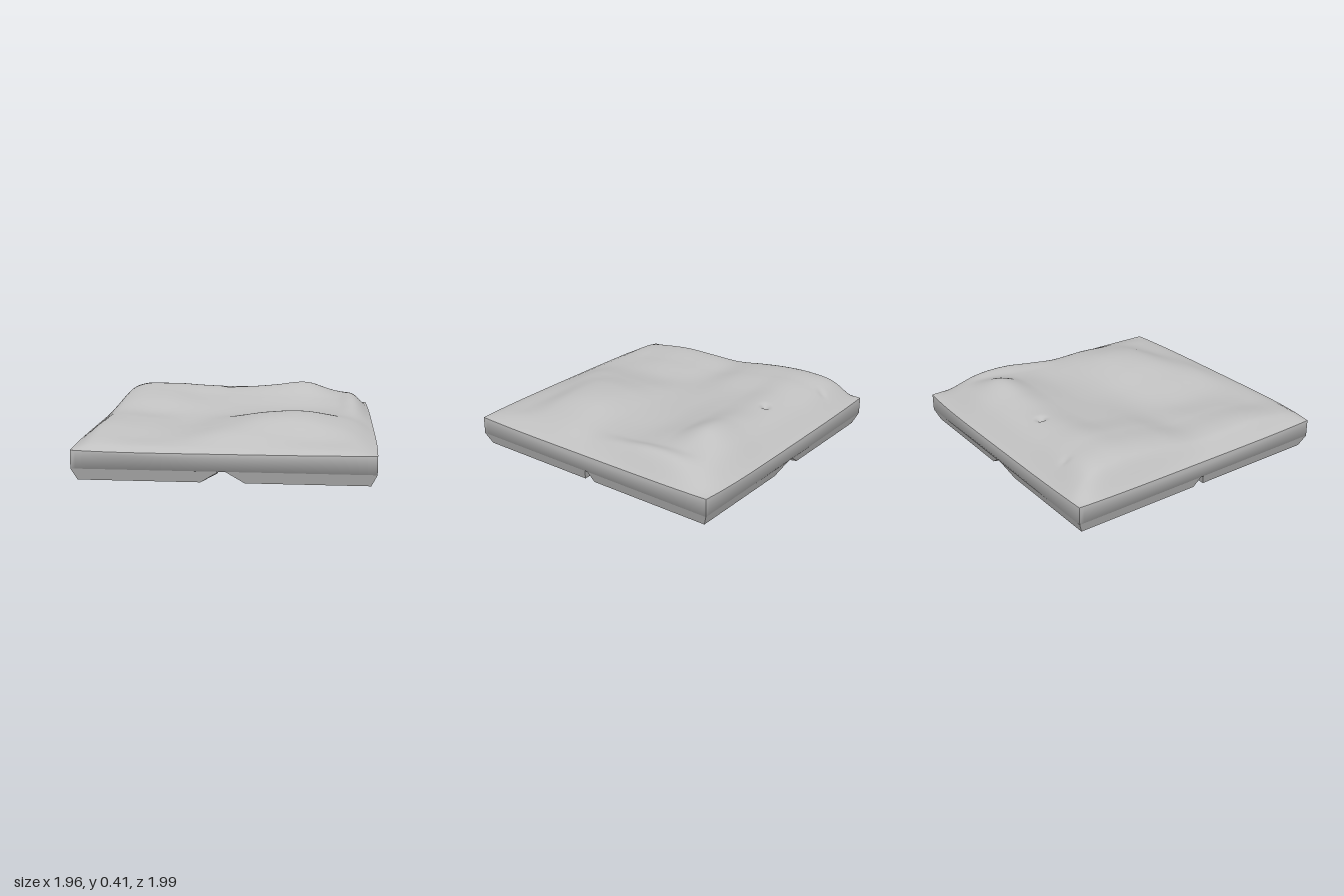
import * as THREE from 'three';

const HALF = 0.965, RIM = 0.2, SKIRT = 0.08, MID_Z = -0.008;

// Control heights of the rolling ground: columns along x, rows along z
const XS = [-1, -0.87, -0.58, -0.3, 0, 0.25, 0.52, 0.75, 0.88, 1];
const ZS = [-1, -0.84, -0.66, -0.43, -0.2, 0.05, 0.3, 0.55, 0.78, 0.94, 1];
const FLAT = XS.map(() => RIM);
const HEIGHTS = [
  FLAT,
  [RIM, 0.325, 0.335, 0.325, 0.325, 0.33, 0.34, 0.31, 0.275, RIM],
  [RIM, 0.355, 0.385, 0.37, 0.36, 0.38, 0.405, 0.33, 0.32, RIM],
  [RIM, 0.35, 0.37, 0.335, 0.325, 0.325, 0.325, 0.31, 0.325, RIM],
  [RIM, 0.325, 0.34, 0.31, 0.29, 0.285, 0.28, 0.285, 0.295, RIM],
  [RIM, 0.29, 0.28, 0.27, 0.275, 0.285, 0.29, 0.285, 0.265, RIM],
  [RIM, 0.29, 0.28, 0.255, 0.3, 0.34, 0.35, 0.31, 0.27, RIM],
  [RIM, 0.29, 0.27, 0.255, 0.305, 0.345, 0.34, 0.295, 0.255, RIM],
  [RIM, 0.265, 0.245, 0.25, 0.29, 0.285, 0.26, 0.245, 0.235, RIM],
  [RIM, 0.235, 0.23, 0.23, 0.235, 0.23, 0.225, 0.22, 0.215, RIM],
  FLAT,
];

// Smooth curve through unevenly spaced knots
function spline(knots, vals, t) {
  const n = knots.length;
  let i = 0;
  while (i < n - 2 && t > knots[i + 1]) i++;
  const slope = (k) => {
    const a = Math.max(k - 1, 0), b = Math.min(k + 1, n - 1);
    return (vals[b] - vals[a]) / (knots[b] - knots[a]);
  };
  const h = knots[i + 1] - knots[i], s = (t - knots[i]) / h, r = 1 - s;
  return vals[i] * (1 + 2 * s) * r * r + slope(i) * h * s * r * r
    + vals[i + 1] * s * s * (3 - 2 * s) - slope(i + 1) * h * s * s * r;
}

// Point of the ground for u, v in -1..1; the rim bulges, most of all in front
function groundPoint(u, v) {
  let y = spline(ZS, HEIGHTS.map((row) => spline(XS, row, u)), v);
  for (const [pu, pv, depth] of [[-0.11, -0.71, 0.03], [-0.64, -0.86, 0.012]]) {
    y -= depth * Math.exp(-((u - pu) ** 2 + (v - pv) ** 2) / 0.0008);
  }
  const x = HALF * u + Math.sign(u) * u ** 12 * 0.014 * (1 - v ** 4);
  const bulge = v > 0 ? 0.036 * (1 - u ** 4) * (1 - 0.35 * u) : 0.02 * (1 - u ** 4) * (1 + 0.4 * u);
  const z = MID_Z + HALF * v + Math.sign(v) * v ** 12 * bulge;
  return [x, y, z];
}

// Smooth surface from a grid of points
function gridSurface(nu, nv, fn) {
  const pos = [], index = [];
  for (let j = 0; j <= nv; j++) {
    for (let i = 0; i <= nu; i++) pos.push(...fn(i / nu, j / nv, j));
  }
  for (let j = 0; j < nv; j++) {
    for (let i = 0; i < nu; i++) {
      const a = j * (nu + 1) + i, b = a + 1, c = a + nu + 1, d = c + 1;
      index.push(a, c, b, b, c, d);
    }
  }
  const geo = new THREE.BufferGeometry();
  geo.setAttribute('position', new THREE.Float32BufferAttribute(pos, 3));
  geo.setIndex(index);
  geo.computeVertexNormals();
  return geo;
}

function flat(geo) {
  const g = geo.index ? geo.toNonIndexed() : geo;
  g.computeVertexNormals();
  return g;
}

// Corner foot with a bevelled outer edge and a sloping, rounded inner side
function footGeometry(sx, sz) {
  const outline = [[0.93, 0.93], [0.93, 0.04], [0.7, 0.05], [0.47, 0.1], [0.33, 0.2],
    [0.24, 0.34], [0.15, 0.5], [0.06, 0.7], [0.14, 0.93]];
  const shape = new THREE.Shape(outline.map(([x, z]) => new THREE.Vector2(x * sx, z * sz)));
  const geo = new THREE.ExtrudeGeometry(shape, { depth: SKIRT, bevelEnabled: false });
  geo.rotateX(Math.PI / 2).translate(0, SKIRT, 0);
  const p = geo.attributes.position;
  for (let i = 0; i < p.count; i++) {
    if (p.getY(i) < 0.04) continue;
    // The top outline flares to the wall, closes the channel mouths and slopes inward
    const x = Math.abs(p.getX(i)), z = Math.abs(p.getZ(i));
    if (x > 0.9) p.setX(i, HALF * sx);
    if (z > 0.9) p.setZ(i, HALF * sz);
    if (x < 0.2 && z > 0.9) p.setX(i, 0.02 * sx);
    if (z < 0.05 && x > 0.9) p.setZ(i, 0.01 * sz);
    if (x < 0.9 && z < 0.9) {
      p.setX(i, x * sx * 0.6);
      p.setZ(i, z * sz * 0.6);
    }
  }
  geo.translate(0, 0, MID_Z);
  return flat(geo);
}

export function createModel() {
  const group = new THREE.Group();
  const stone = new THREE.MeshStandardMaterial({ color: 0xc0c0c0, side: THREE.DoubleSide });
  stone.name = 'paleGrey';
  const add = (name, geo) => {
    const mesh = new THREE.Mesh(geo, stone);
    mesh.name = name;
    group.add(mesh);
  };

  // Rolling ground on top
  add('ground', gridSurface(120, 120, (s, t) => groundPoint(s * 2 - 1, t * 2 - 1)));

  // Four walls: a drooping lip, then a face that rounds under at the bottom
  const sides = {
    frontWall: (s) => [s, 1], leftWall: (s) => [1, -s],
    backWall: (s) => [-s, -1], rightWall: (s) => [-1, s],
  };
  for (const [name, at] of Object.entries(sides)) {
    add(name, gridSurface(60, 3, (s, t, row) => {
      const [u, v] = at(s * 2 - 1);
      if (row < 2) {
        const [x, y, z] = groundPoint(u, v);
        return [x, y - row * 0.03 * (1 - (u * v) ** 2), z];
      }
      const k = row === 2 ? 1 : 0.88;
      return [HALF * u * k, SKIRT, MID_Z + HALF * v * k];
    }));
  }

  // Underside sinking in a shallow pyramid to the middle
  const under = new THREE.ConeGeometry(HALF * Math.SQRT2, 0.05, 4, 1, true);
  under.rotateX(Math.PI).rotateY(Math.PI / 4).translate(0, SKIRT - 0.025, MID_Z);
  add('underside', flat(under));

  // Feet at the four corners, leaving a cross of channels between them
  for (const sx of [-1, 1]) {
    for (const sz of [-1, 1]) add('cornerFoot', footGeometry(sx, sz));
  }
  return group;
}
